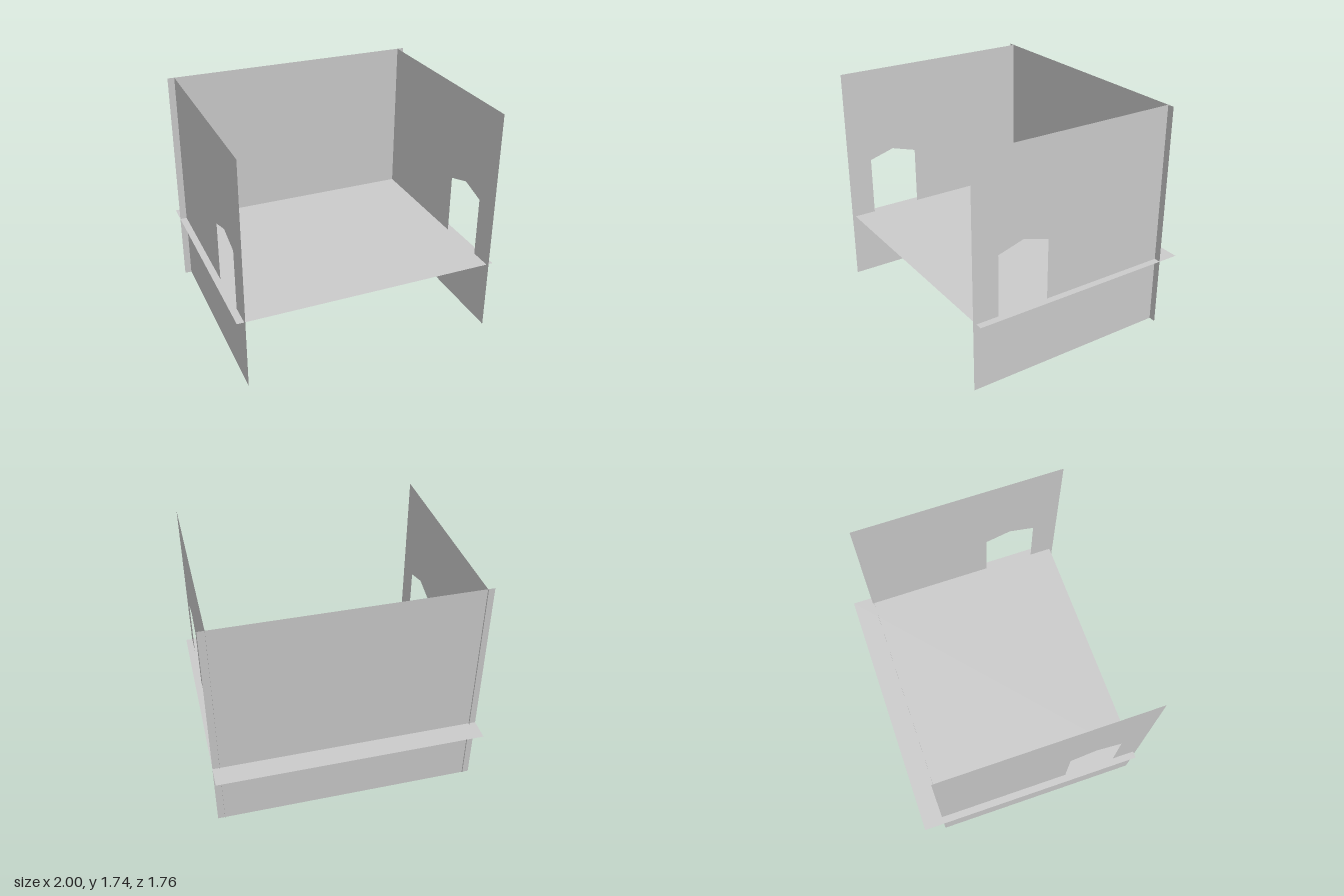
import * as THREE from 'three';

const material = new THREE.MeshStandardMaterial({ color: 0xcccccc, side: THREE.DoubleSide });

const HEIGHT = 1.74;
const FLOOR_Y = 0.525;

// Side wall drawn in (z, y), with a pointed window standing on the floor level
function sideWallGeometry() {
  const wall = new THREE.Shape([
    [-0.732, 0], [0.878, 0], [0.878, HEIGHT], [-0.732, HEIGHT],
  ].map(([z, y]) => new THREE.Vector2(z, y)));
  wall.holes.push(new THREE.Path([
    [0.28, FLOOR_Y], [0.28, 0.99], [0.48, 1.05], [0.68, 0.99], [0.68, FLOOR_Y],
  ].map(([z, y]) => new THREE.Vector2(z, y))));
  return new THREE.ShapeGeometry(wall).rotateY(-Math.PI / 2);
}

export function createModel() {
  const model = new THREE.Group();
  model.name = 'openRoom';

  const add = (name, geometry, x, y, z) => {
    const mesh = new THREE.Mesh(geometry, material);
    mesh.name = name;
    mesh.position.set(x, y, z);
    model.add(mesh);
  };

  // Floor sheet, passing through the walls on three sides
  add('floor', new THREE.PlaneGeometry(2, 1.735).rotateX(-Math.PI / 2), 0, FLOOR_Y, -0.015);

  // Back wall, overhanging the side walls slightly
  add('backWall', new THREE.PlaneGeometry(2, HEIGHT), 0, HEIGHT / 2, -0.72);

  // Mirrored side walls
  const side = sideWallGeometry();
  add('leftWall', side, 0.948, 0, 0);
  add('rightWall', side, -0.948, 0, 0);

  return model;
}
